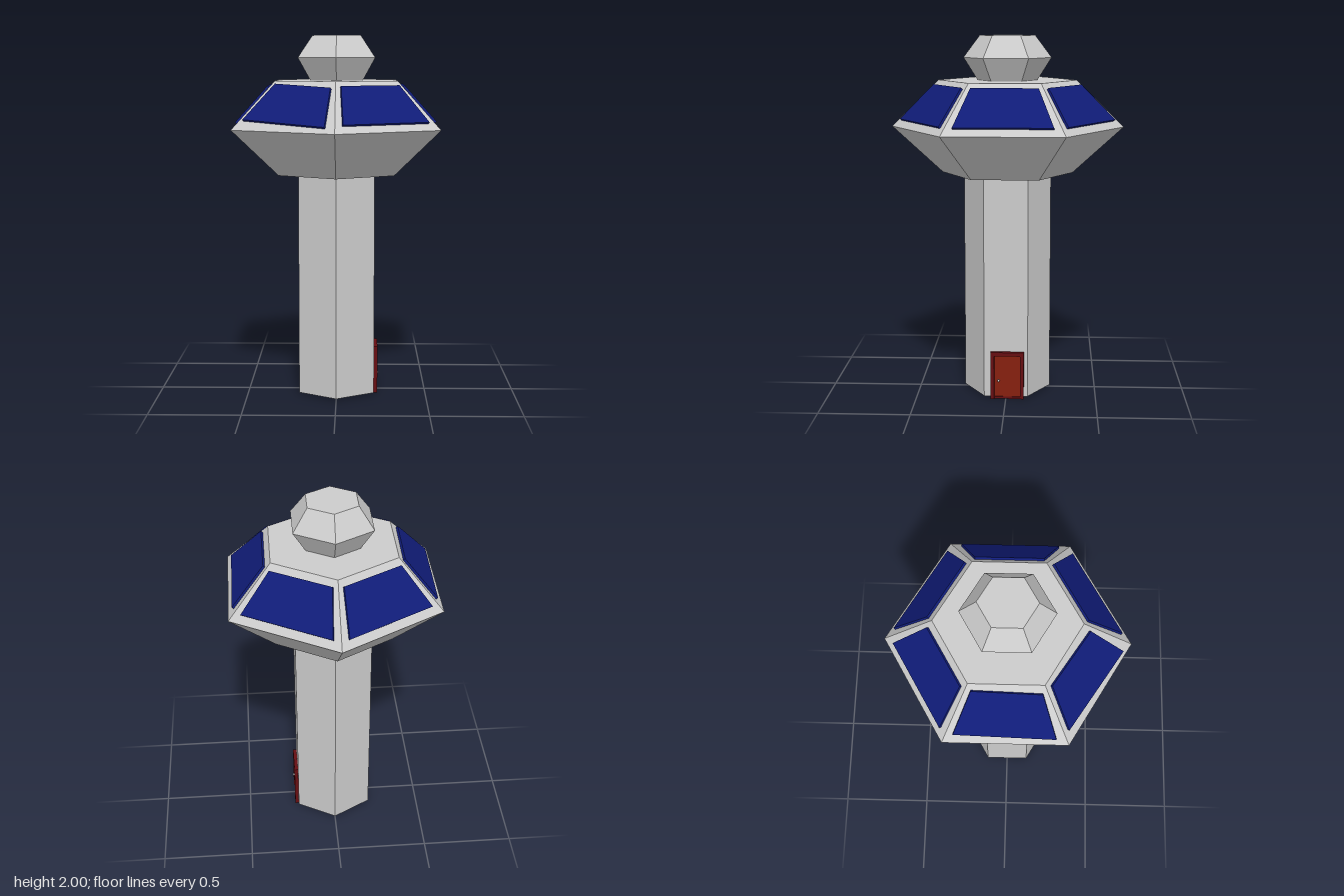
import * as THREE from 'three';

const grey = new THREE.MeshStandardMaterial({ color: 0xcccccc, flatShading: true });
const blue = new THREE.MeshStandardMaterial({ color: 0x101c78 });
const darkRed = new THREE.MeshStandardMaterial({ color: 0x660e12 });
const red = new THREE.MeshStandardMaterial({ color: 0x86200f });

export function createModel() {
  const model = new THREE.Group();
  model.name = 'controlTower';

  const add = (parent, name, geometry, material, x = 0, y = 0, z = 0) => {
    const mesh = new THREE.Mesh(geometry, material);
    mesh.name = name;
    mesh.position.set(x, y, z);
    parent.add(mesh);
    return mesh;
  };

  // Six-sided frustum between two heights, corners on the z axis
  const hex = (name, y0, r0, y1, r1, openTop = false, openBottom = false) => {
    const geometry = new THREE.CylinderGeometry(r1, r0, y1 - y0, 6, 1, openTop || openBottom);
    add(model, name, geometry, grey, 0, (y0 + y1) / 2, 0);
  };
  // Flat hexagonal lid facing up (or down)
  const lid = (name, y, r, down = false) => {
    const geometry = new THREE.CircleGeometry(r, 6, Math.PI / 2);
    geometry.rotateX(down ? Math.PI / 2 : -Math.PI / 2);
    add(model, name, geometry, grey, 0, y, 0);
  };

  // Shaft
  hex('shaft', 0.01, 0.242, 1.245, 0.242);

  // Cabin: flared underside, sloped window band, flat roof
  hex('cabinUnderside', 1.245, 0.362, 1.5, 0.642, true);
  lid('cabinFloor', 1.245, 0.362, true);
  hex('cabinWindowBand', 1.5, 0.642, 1.757, 0.38, true);
  lid('cabinRoof', 1.757, 0.38);

  // Faceted cap
  hex('capLower', 1.757, 0.165, 1.88, 0.242, true);
  hex('capUpper', 1.88, 0.242, 2, 0.152, true);
  lid('capTop', 2, 0.152);

  // Sloped windows, one per side, two of them slightly skewed
  const outline = new THREE.Shape([
    new THREE.Vector2(-0.26, -0.127), new THREE.Vector2(0.26, -0.127),
    new THREE.Vector2(0.178, 0.127), new THREE.Vector2(-0.178, 0.127),
  ]);
  const pane = new THREE.ExtrudeGeometry(outline, { depth: 0.019, bevelEnabled: false });
  pane.translate(0, 0, -0.005);
  const rolls = [0, 0, 0, 0, -0.03, -0.06];
  rolls.forEach((roll, i) => {
    const side = new THREE.Group();
    side.name = 'windowSide' + (i + 1);
    side.rotation.y = Math.PI / 6 + i * Math.PI / 3;
    const mesh = add(side, 'window', pane, blue, 0, 1.63, 0.44);
    mesh.rotation.set(-0.723, 0, roll);
    model.add(side);
  });

  // Door on the left wall: frame, leaf and knob
  const door = new THREE.Group();
  door.name = 'door';
  door.position.z = -0.008;
  model.add(door);
  for (const s of [-1, 1]) {
    add(door, 'doorPost', new THREE.BoxGeometry(0.04, 0.268, 0.02), darkRed, 0.21, 0.134, s * 0.082);
  }
  add(door, 'doorLintel', new THREE.BoxGeometry(0.04, 0.022, 0.144), darkRed, 0.21, 0.257, 0);
  add(door, 'doorSill', new THREE.BoxGeometry(0.04, 0.012, 0.144), darkRed, 0.205, 0.006, 0);
  add(door, 'doorLeaf', new THREE.BoxGeometry(0.03, 0.234, 0.144), red, 0.204, 0.129, 0);
  const stem = add(door, 'knobStem', new THREE.CylinderGeometry(0.003, 0.003, 0.012, 8), grey, 0.223, 0.106, 0.048);
  stem.rotation.z = Math.PI / 2;
  add(door, 'knob', new THREE.SphereGeometry(0.007, 12, 8), grey, 0.23, 0.106, 0.048);

  return model;
}
